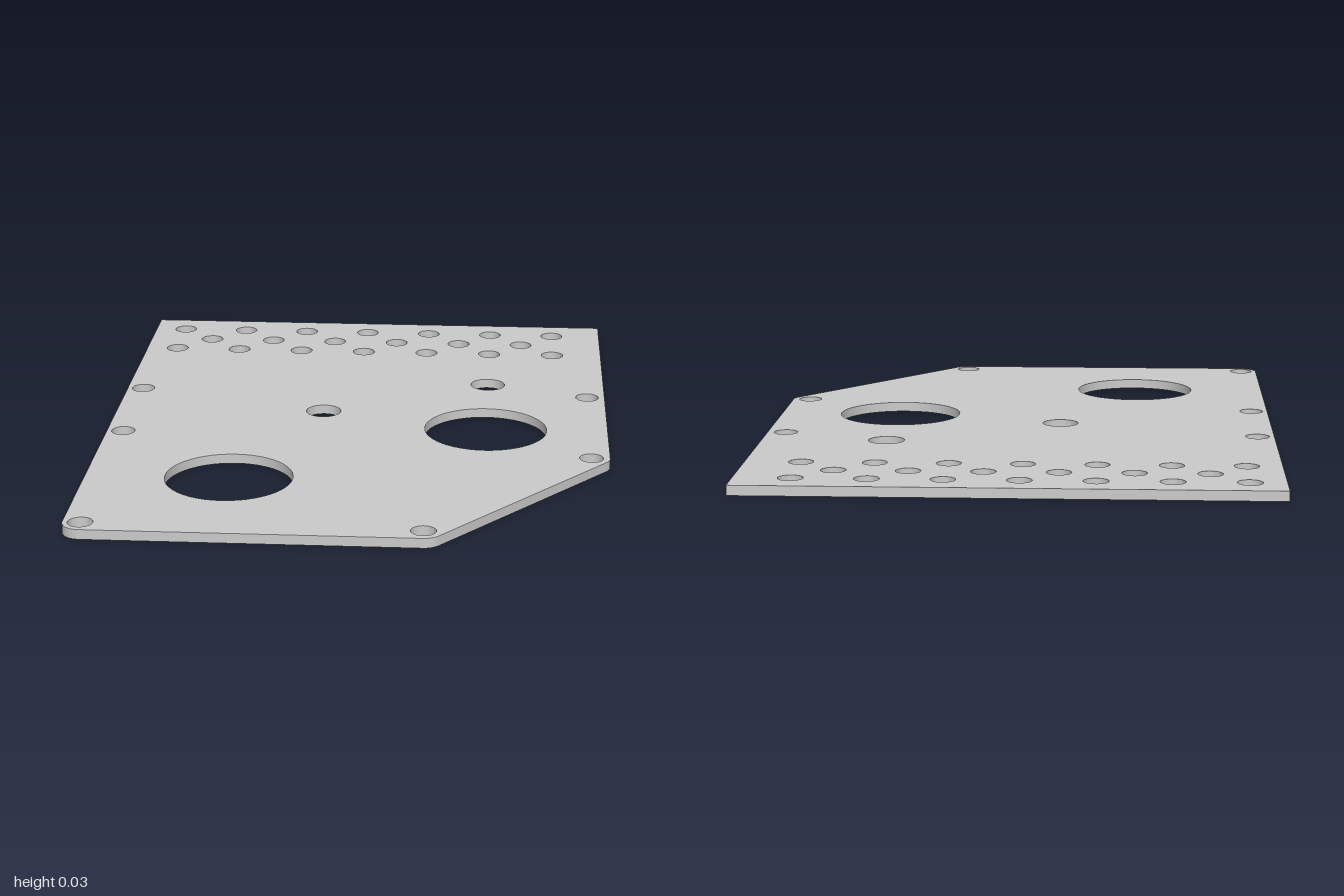
import * as THREE from 'three';
import { toCreasedNormals } from 'three/addons/utils/BufferGeometryUtils.js';

const THICKNESS = 0.03;
const HALF_WIDTH = 0.79;
const CORNER = 0.057;

// Outline drawn in plan, with shape y = -z
function plateOutline() {
  const s = new THREE.Shape();
  const [ax, az] = [0.243, 0.943]; // centres of the rounded corners
  const [bx, bz] = [0.733, 0.328];
  const slope = Math.atan2(ax - bx, az - bz); // outward direction of the slanted edge
  s.moveTo(-HALF_WIDTH, 1);
  s.lineTo(-HALF_WIDTH, -1 + CORNER);
  s.absarc(-HALF_WIDTH + CORNER, -1 + CORNER, CORNER, Math.PI, Math.PI * 1.5, false);
  s.absarc(ax, -az, CORNER, -Math.PI / 2, slope, false);
  s.absarc(bx, -bz, CORNER, slope, 0, false);
  s.lineTo(HALF_WIDTH, 1);
  s.closePath();
  return s;
}

export function createModel() {
  const group = new THREE.Group();
  const outline = plateOutline();
  const drill = (x, z, r) =>
    outline.holes.push(new THREE.Path().absarc(x, -z, r, 0, Math.PI * 2, true));

  // Staggered rows of small holes along the back
  const pitch = 0.218;
  for (const [startX, z, count] of [[-0.685, -0.895, 7], [-0.576, -0.785, 6], [-0.685, -0.676, 7]]) {
    for (let i = 0; i < count; i++) drill(startX + i * pitch, z, 0.037);
  }

  // Fixing holes round the edge
  for (const [x, z] of [[-0.738, -0.238], [-0.738, 0.178], [-0.738, 0.943],
    [0.243, 0.943], [0.733, 0.328], [0.733, -0.238]]) drill(x, z, 0.037);

  // Medium holes and large openings
  drill(0.405, -0.347, 0.056);
  drill(-0.121, -0.05, 0.056);
  drill(0.405, 0.088, 0.193);
  drill(-0.357, 0.559, 0.193);

  const geometry = new THREE.ExtrudeGeometry(outline, {
    depth: THICKNESS, bevelEnabled: false, curveSegments: 24,
  });
  geometry.rotateX(-Math.PI / 2);
  const plate = new THREE.Mesh(
    toCreasedNormals(geometry, Math.PI / 5),
    new THREE.MeshStandardMaterial({ color: 0xcccccc }),
  );
  plate.name = 'perforatedPlate';
  group.add(plate);
  return group;
}
